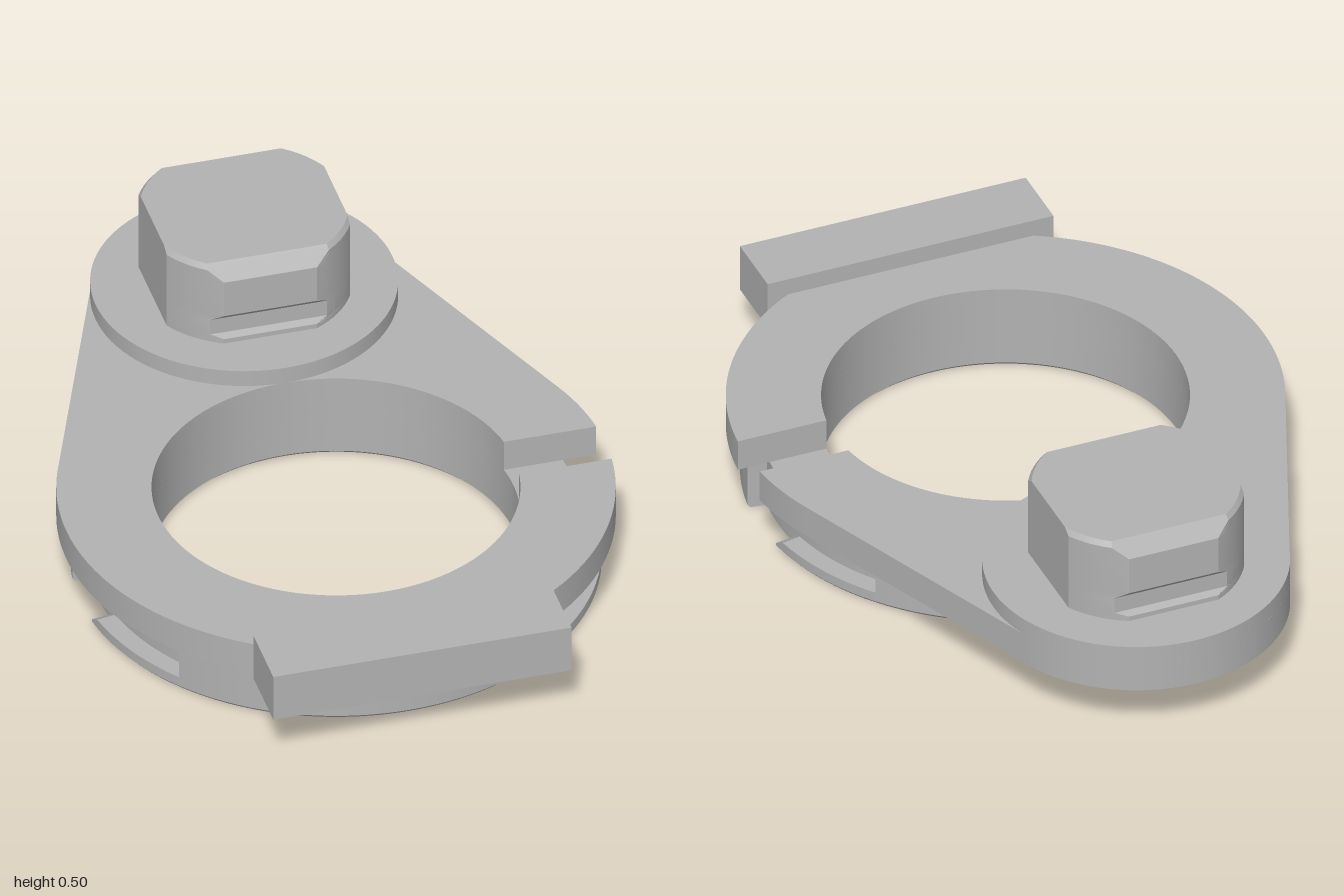
import * as THREE from 'three';
import { toCreasedNormals } from 'three/addons/utils/BufferGeometryUtils.js';

const metal = new THREE.MeshStandardMaterial({ color: 0xb2b2b2 });
metal.name = 'grey metal';

const RING_Z = 0.215, KNOB_Z = -0.62;      // centres of the ring and the knob
const BORE = 0.455, CORE = 0.605, FLANGE = 0.655;
const PLATE_Y = 0.145, PLATE_TOP = 0.23, PAD_TOP = 0.275;
const rad = THREE.MathUtils.degToRad;

function add(group, name, geometry, x = 0, y = 0, z = 0) {
  const mesh = new THREE.Mesh(geometry, metal);
  mesh.name = name;
  mesh.position.set(x, y, z);
  group.add(mesh);
  return mesh;
}

// Sweeps a (radius, height) profile around y, from one angle to another (0 = +z, 90 = +x)
function sector(profile, from, to, startHeight) {
  const span = rad(to - from);
  const shape = new THREE.Shape(profile.map(([r, y]) => new THREE.Vector2(r, y)));
  const geo = new THREE.ExtrudeGeometry(shape, {
    depth: span, steps: Math.ceil((to - from) / 3), bevelEnabled: false,
  });
  const p = geo.attributes.position;
  for (let i = 0; i < p.count; i++) {
    const r = p.getX(i), t = rad(to) - p.getZ(i);
    // optional ramp: the first edge is lower than the rest
    if (startHeight && Math.abs(t - rad(from)) < 1e-4) p.setY(i, Math.min(p.getY(i), startHeight));
    p.setX(i, r * Math.sin(t));
    p.setZ(i, r * Math.cos(t));
  }
  return toCreasedNormals(geo, rad(25));
}

// Teardrop plate with a round bore and a slot open to the +x side
function plateGeometry() {
  const R = 0.69, r = 0.38, half = 0.07;
  const tangent = Math.PI / 2 - Math.acos((R - r) / (RING_Z - KNOB_Z));
  const a = Math.asin(half / R), b = Math.asin(half / BORE);
  const s = new THREE.Shape();
  s.absarc(0, -RING_Z, R, a, tangent, false);
  s.absarc(0, -KNOB_Z, r, tangent, Math.PI - tangent, false);
  s.absarc(0, -RING_Z, R, Math.PI - tangent, 2 * Math.PI - a, false);
  s.absarc(0, -RING_Z, BORE, 2 * Math.PI - b, b, true);
  s.closePath();
  const geo = new THREE.ExtrudeGeometry(s, {
    depth: PLATE_TOP - PLATE_Y, bevelEnabled: false, curveSegments: 64,
  });
  geo.rotateX(-Math.PI / 2);
  return toCreasedNormals(geo, rad(25));
}

// Knob: a round bar with four flats; front and back flats carry a groove and a chamfer
function knobGeometry() {
  const halfX = 0.235, n = 8;
  // height, half depth between front and back flats, corner radius
  const levels = [
    [0.275, 0.24, 0.268], [0.288, 0.24, 0.268], [0.296, 0.222, 0.268], [0.34, 0.222, 0.268],
    [0.358, 0.24, 0.268], [0.46, 0.24, 0.268], [0.49, 0.218, 0.268], [0.503, 0.208, 0.258],
  ];
  const pos = [], index = [], count = 4 * (n + 1);
  for (const [y, h, r] of levels) {
    const t1 = Math.acos(halfX / r), t2 = Math.asin(h / r);
    const starts = [[t1, t2], [Math.PI - t2, Math.PI - t1],
      [Math.PI + t1, Math.PI + t2], [2 * Math.PI - t2, 2 * Math.PI - t1]];
    for (const [s, e] of starts) {
      for (let i = 0; i <= n; i++) {
        const t = s + (e - s) * i / n;
        pos.push(r * Math.cos(t), y, -r * Math.sin(t));
      }
    }
  }
  for (let l = 0; l < levels.length - 1; l++) {
    for (let j = 0; j < count; j++) {
      const a = l * count + j, b = l * count + (j + 1) % count;
      index.push(a, b, b + count, a, b + count, a + count);
    }
  }
  const top = (levels.length - 1) * count;
  for (let j = 1; j < count - 1; j++) index.push(top, top + j, top + j + 1);
  const geo = new THREE.BufferGeometry();
  geo.setAttribute('position', new THREE.Float32BufferAttribute(pos, 3));
  geo.setIndex(index);
  return toCreasedNormals(geo, rad(18));
}

export function createModel() {
  const model = new THREE.Group();
  model.name = 'bayonetCover';

  // Plate, front grip bar, round pad and knob
  add(model, 'plate', plateGeometry(), 0, PLATE_Y, 0);
  add(model, 'gripBar', new THREE.BoxGeometry(0.764, PAD_TOP - PLATE_Y, 0.178),
    0, (PAD_TOP + PLATE_Y) / 2, 0.911);
  add(model, 'pad', new THREE.CylinderGeometry(0.38, 0.38, PAD_TOP - PLATE_TOP, 96),
    0, (PAD_TOP + PLATE_TOP) / 2, KNOB_Z);
  add(model, 'knob', knobGeometry(), 0, 0, KNOB_Z);

  // Ring under the plate, with bayonet flanges on both sides
  const ring = new THREE.Group();
  ring.name = 'bayonetRing';
  ring.position.z = RING_Z;
  model.add(ring);
  add(ring, 'ringCore', sector([[BORE + 0.01, 0], [CORE, 0], [CORE, PLATE_Y],
    [BORE, PLATE_Y], [BORE, 0.01]], 0, 360));

  const wall = [[CORE, 0], [FLANGE - 0.007, 0], [FLANGE, 0.008], [FLANGE, PLATE_Y], [CORE, PLATE_Y]];
  const foot = [[CORE, 0], [FLANGE - 0.007, 0], [FLANGE, 0.008], [FLANGE, 0.034], [CORE, 0.034]];
  for (const turn of [0, 180]) {
    add(ring, 'foot', sector(foot, turn + 35.5, turn + 68, 0.015));
    add(ring, 'shortFlange', sector(wall, turn + 68, turn + 81));
    add(ring, 'foot', sector(foot, turn + 97.5, turn + 128, 0.015));
    add(ring, 'longFlange', sector(wall, turn + 128, turn + 201.5));
  }
  return model;
}
